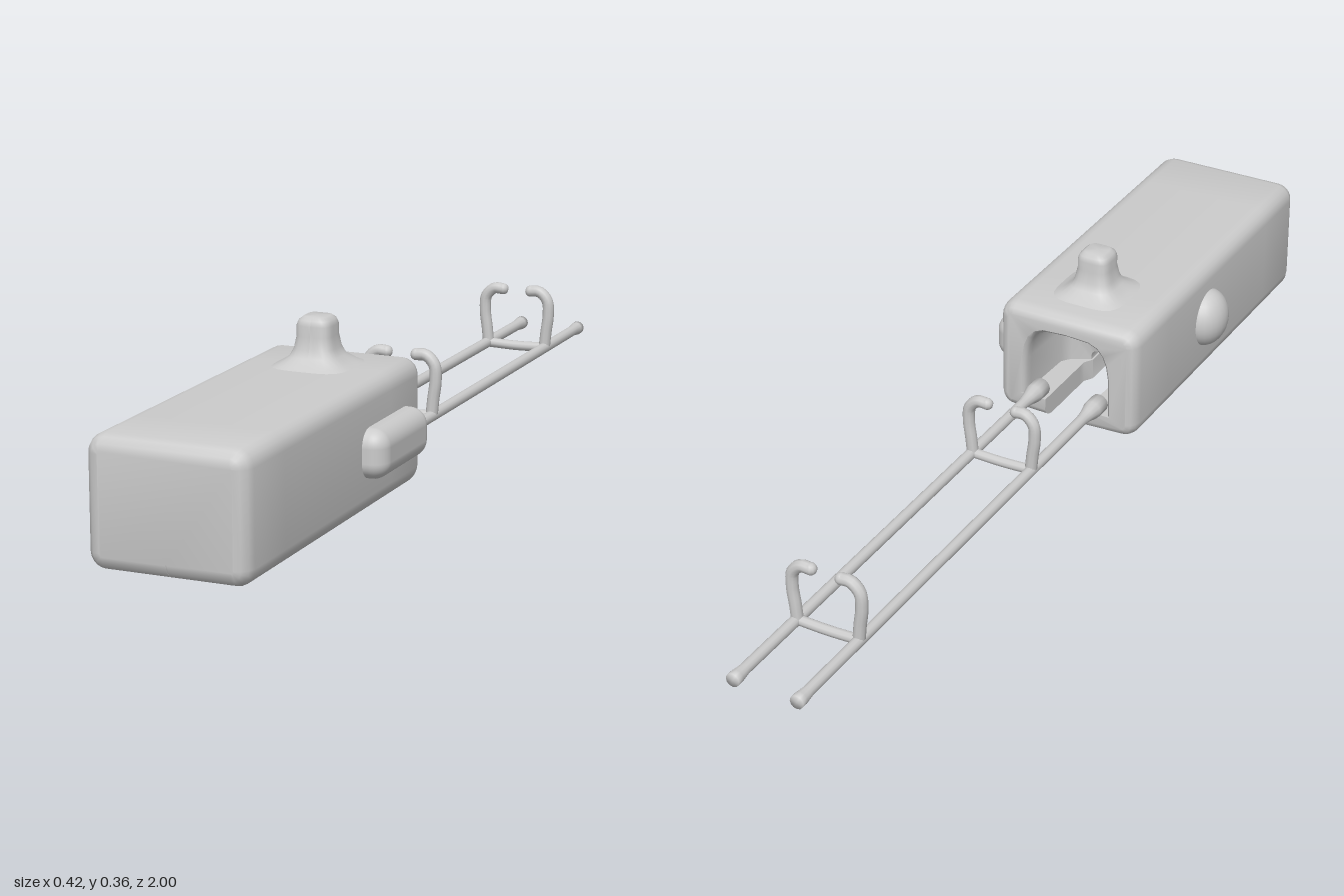
import * as THREE from 'three';
import { toCreasedNormals } from 'three/addons/utils/BufferGeometryUtils.js';
import { RoundedBoxGeometry } from 'three/addons/geometries/RoundedBoxGeometry.js';

const grey = new THREE.MeshStandardMaterial({ color: 0xcccccc, side: THREE.DoubleSide });

function add(parent, geometry, name, x = 0, y = 0, z = 0) {
  const mesh = new THREE.Mesh(geometry, grey);
  mesh.name = name;
  mesh.position.set(x, y, z);
  parent.add(mesh);
  return mesh;
}

// One cross-section of the housing: rounded rectangle, with a slot from below opening into an arch.
// inset shrinks the outline, s = half slot, f = slot depth, c = half cavity, t = cavity top
function housingRing({ inset = 0, s = 0.001, f = 0, c = s, t = 0 }) {
  const points = [];
  const x0 = -0.168 + inset, x1 = 0.164 - inset, y0 = 0.005 + inset, y1 = 0.265 - inset;
  const r = Math.max(0.036 - inset, 0.002);
  const lip = f ? y0 - 0.003 : y0;
  const floor = f || y0 + 0.001;
  const top = Math.max(t, floor + 0.001);
  points.push([s, lip]);
  const corners = [[x1 - r, y0 + r], [x1 - r, y1 - r], [x0 + r, y1 - r], [x0 + r, y0 + r]];
  corners.forEach(([cx, cy], k) => {
    for (let i = 0; i <= 5; i++) {
      const a = (k - 1 + i / 5) * Math.PI / 2;
      points.push([cx + r * Math.cos(a), cy + r * Math.sin(a)]);
    }
  });
  points.push([-s, lip], [-s, floor]);
  // squarish arch over the cavity
  for (let i = 0; i <= 12; i++) {
    const a = Math.PI * (1 - i / 12), co = Math.cos(a);
    points.push([c * Math.sign(co) * Math.sqrt(Math.abs(co)),
      floor + (top - floor) * Math.sqrt(Math.max(0, Math.sin(a)))]);
  }
  points.push([s, floor]);
  return points;
}

// Housing lofted from the closed front to the open rear
function housingGeometry() {
  const slot = { s: 0.02, f: 0.035, t: 0.045 };
  const wide = { s: 0.036, f: 0.05, c: 0.04, t: 0.075 };
  const bay = { s: 0.048, f: 0.05, c: 0.1, t: 0.215 };
  const stations = [
    { z: 1, inset: 0.03 }, { z: 0.996, inset: 0.016 }, { z: 0.985, inset: 0.005 }, { z: 0.97 },
    { z: 0.84 }, { z: 0.84, ...slot, s: 0.012 }, { z: 0.83, ...slot },
    { z: 0.53, ...slot }, { z: 0.51, ...wide }, { z: 0.39, ...wide },
    { z: 0.37, ...bay, c: 0.08, t: 0.18 }, { z: 0.35, ...bay, c: 0.095, t: 0.21 }, { z: 0.22, ...bay },
    { z: 0.205, ...bay, inset: 0.004 }, { z: 0.195, ...bay, c: 0.103, t: 0.22, inset: 0.011 },
    { z: 0.19, ...bay, c: 0.108, t: 0.225, inset: 0.022 },
  ];
  const rings = stations.map(housingRing);
  const n = rings[0].length;
  const position = [], index = [];
  rings.forEach((ring, k) => ring.forEach(([x, y]) => position.push(x, y, stations[k].z)));
  for (let k = 0; k < rings.length - 1; k++) {
    for (let j = 0; j < n; j++) {
      const a = k * n + j, b = k * n + (j + 1) % n;
      index.push(a, a + n, b, b, a + n, b + n);
    }
  }
  // end faces
  const cap = (k, flip) => {
    const outline = rings[k].map(([x, y]) => new THREE.Vector2(x, y));
    for (const [a, b, c] of THREE.ShapeUtils.triangulateShape(outline, [])) {
      index.push(k * n + a, k * n + (flip ? c : b), k * n + (flip ? b : c));
    }
  };
  cap(0, false);
  cap(rings.length - 1, true);
  const geometry = new THREE.BufferGeometry();
  geometry.setAttribute('position', new THREE.Float32BufferAttribute(position, 3));
  geometry.setIndex(index);
  return toCreasedNormals(geometry, 0.7);
}

// Lathe whose round section is pushed towards a square
function squareLathe(profile) {
  const geometry = new THREE.LatheGeometry(profile.map(([r, y]) => new THREE.Vector2(r, y)), 32);
  const p = geometry.attributes.position;
  for (let i = 0; i < p.count; i++) {
    const x = p.getX(i), z = p.getZ(i), r = Math.hypot(x, z);
    if (r < 1e-6) continue;
    const k = 1 / Math.pow((x / r) ** 4 + (z / r) ** 4, 0.25);
    p.setX(i, x * k);
    p.setZ(i, z * k);
  }
  geometry.computeVertexNormals();
  return geometry;
}

function tube(points, radius, segments = 20) {
  const curve = new THREE.CatmullRomCurve3(points.map((p) => new THREE.Vector3(...p)));
  return new THREE.TubeGeometry(curve, segments, radius, 10);
}

export function createModel() {
  const model = new THREE.Group();
  model.name = 'slidingHousing';

  add(model, housingGeometry(), 'housing');

  // Flared button on top
  add(model, squareLathe([[0.088, 0.262], [0.07, 0.27], [0.05, 0.284], [0.042, 0.3], [0.037, 0.325],
    [0.037, 0.346], [0.033, 0.357], [0.024, 0.364], [0, 0.364]]), 'topButton', 0, 0, 0.335);

  // Long side pad and round side knob
  add(model, new RoundedBoxGeometry(0.1, 0.102, 0.245, 5, 0.036), 'sidePad', 0.16, 0.13, 0.37);
  const knob = add(model, new THREE.SphereGeometry(1, 24, 16), 'sideKnob', -0.162, 0.138, 0.545);
  knob.scale.set(0.05, 0.066, 0.062);

  // Twin rails, with flared feet and thickened ends
  const railProfile = [[0, 0.215], [0.021, 0.215], [0.021, 0.18], [0.015, 0.155], [0.012, 0.13],
    [0.012, -0.96], [0.015, -0.985], [0.015, -1], [0, -1]].reverse();
  for (const side of [1, -1]) {
    const rail = add(model,
      new THREE.LatheGeometry(railProfile.map(([r, y]) => new THREE.Vector2(r, y)), 12),
      side > 0 ? 'leftRail' : 'rightRail', side * 0.071, 0.064, 0);
    rail.rotation.x = Math.PI / 2;
  }

  // Clips: cross bar and two inward-curling hooks
  for (const z of [-0.09, -0.775]) {
    const clip = new THREE.Group();
    clip.name = 'clip';
    clip.position.z = z;
    model.add(clip);
    add(clip, tube([[-0.071, 0.064, 0], [0, 0.062, 0], [0.071, 0.064, 0]], 0.011), 'crossBar');
    for (const side of [1, -1]) {
      const path = [[0.069, 0.06, 0], [0.073, 0.1, 0], [0.078, 0.14, 0], [0.075, 0.175, 0],
        [0.056, 0.194, 0], [0.034, 0.194, 0]].map(([x, y, zz]) => [side * x, y, zz]);
      add(clip, tube(path, 0.013), 'hook');
      const tip = path[path.length - 1];
      add(clip, new THREE.SphereGeometry(0.013, 10, 8), 'hookTip', ...tip);
    }
  }
  return model;
}
